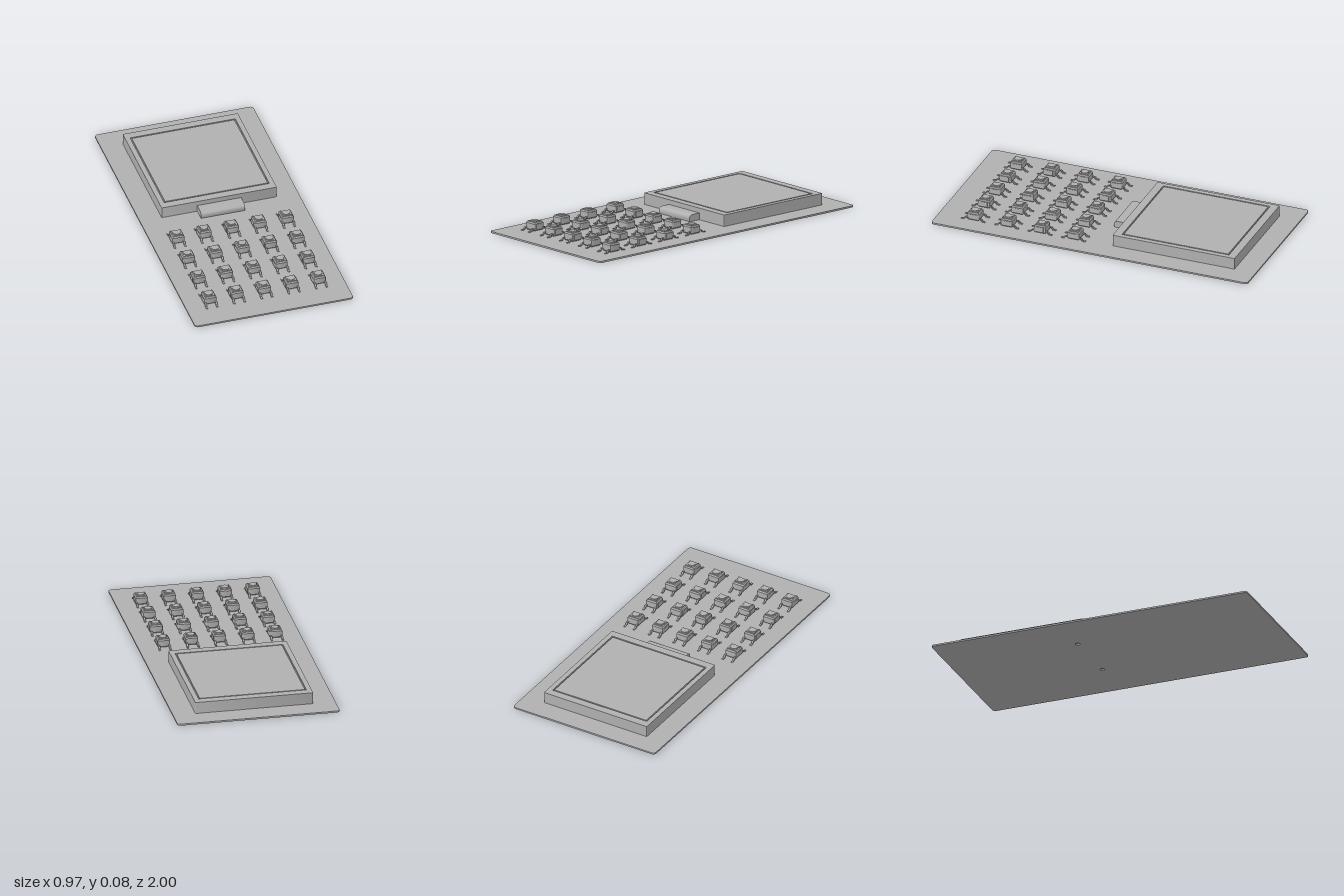
import * as THREE from 'three';
import { toCreasedNormals } from 'three/addons/utils/BufferGeometryUtils.js';

const grey = new THREE.MeshStandardMaterial({ color: 0xb0b0b0 });
grey.name = 'plain grey';

function add(parent, name, geo, x = 0, y = 0, z = 0) {
  const mesh = new THREE.Mesh(geo, grey);
  mesh.name = name;
  mesh.position.set(x, y, z);
  parent.add(mesh);
  return mesh;
}

// Rounded rectangle outline centred on the origin
function roundedRect(w, d, r, Type = THREE.Shape) {
  const s = new Type(), x = w / 2, y = d / 2;
  s.moveTo(-x + r, -y);
  s.lineTo(x - r, -y);
  s.absarc(x - r, -y + r, r, -Math.PI / 2, 0);
  s.lineTo(x, y - r);
  s.absarc(x - r, y - r, r, 0, Math.PI / 2);
  s.lineTo(-x + r, y);
  s.absarc(-x + r, y - r, r, Math.PI / 2, Math.PI);
  s.lineTo(-x, -y + r);
  s.absarc(-x + r, -y + r, r, Math.PI, Math.PI * 1.5);
  return s;
}

// Extrude an outline upwards from y = 0
function slab(shape, height, bevel = 0) {
  const g = new THREE.ExtrudeGeometry(shape, {
    depth: height - 2 * bevel, curveSegments: 6, bevelEnabled: bevel > 0,
    bevelSize: bevel, bevelThickness: bevel, bevelOffset: -bevel, bevelSegments: 1,
  });
  g.translate(0, 0, bevel);
  g.rotateX(-Math.PI / 2);
  return toCreasedNormals(g, 0.6);
}

// Extrude a (z, y) side profile across the x axis
function acrossX(points, width) {
  const shape = new THREE.Shape(points.map(([z, y]) => new THREE.Vector2(-z, y)));
  const g = new THREE.ExtrudeGeometry(shape, { depth: width, bevelEnabled: false });
  g.translate(0, 0, -width / 2);
  g.rotateY(Math.PI / 2);
  return toCreasedNormals(g, 0.6);
}

export function createModel() {
  const model = new THREE.Group();
  model.name = 'keypadBoard';

  // Circuit board with two round holes under the display
  const board = roundedRect(0.972, 2, 0.02);
  for (const x of [-0.19, 0.19]) {
    const hole = new THREE.Path();
    hole.absarc(x, 0.19, 0.015, 0, Math.PI * 2, true);
    board.holes.push(hole);
  }
  add(model, 'board', slab(board, 0.01));

  // Display: lower block, raised rim and screen panel with a groove between
  const display = new THREE.Group();
  display.name = 'display';
  display.position.set(0, 0.01, -0.481);
  model.add(display);
  add(display, 'displayBase', slab(roundedRect(0.706, 0.772, 0.006), 0.06));
  const rim = roundedRect(0.706, 0.772, 0.006);
  rim.holes.push(roundedRect(0.646, 0.676, 0.004, THREE.Path));
  add(display, 'displayRim', slab(rim, 0.01), 0, 0.06, 0);
  add(display, 'screen', slab(roundedRect(0.63, 0.66, 0.004), 0.01), 0, 0.06, 0);

  // Connector fold with a rounded front edge
  add(model, 'connector', acrossX([
    [-0.097, 0.01], [-0.02, 0.01], [-0.017, 0.02], [-0.017, 0.034],
    [-0.021, 0.043], [-0.03, 0.049], [-0.04, 0.051], [-0.097, 0.051],
  ], 0.27));

  // Shared push button pieces
  const body = slab(roundedRect(0.074, 0.074, 0.004), 0.05, 0.007);
  const cover = slab(roundedRect(0.05, 0.05, 0.004), 0.005);
  const knob = new THREE.CylinderGeometry(0.022, 0.024, 0.009, 24);
  const rivet = new THREE.CylinderGeometry(0.005, 0.005, 0.006, 10);
  const leg = acrossX([
    [0.03, 0.024], [0.046, 0.024], [0.056, 0.011], [0.076, 0.01],
    [0.076, 0.015], [0.06, 0.016], [0.049, 0.029], [0.03, 0.029],
  ], 0.011);
  const clip = new THREE.BoxGeometry(0.006, 0.03, 0.045);

  function button(x, z) {
    const b = new THREE.Group();
    b.name = 'pushButton';
    b.position.set(x, 0, z);
    add(b, 'buttonBody', body, 0, 0.011, 0);
    add(b, 'buttonCover', cover, 0, 0.06, 0);
    add(b, 'buttonKnob', knob, 0, 0.0645, 0);
    for (const sx of [-1, 1]) {
      add(b, 'sideClip', clip, sx * 0.036, 0.035, 0);
      for (const sz of [-1, 1]) {
        add(b, 'buttonLeg', leg, sx * 0.032, 0, 0).rotation.y = sz < 0 ? Math.PI : 0;
        add(b, 'cornerRivet', rivet, sx * 0.026, 0.061, sz * 0.026);
      }
    }
    model.add(b);
  }

  // Four rows of five push buttons
  for (let row = 0; row < 4; row++)
    for (let col = -2; col <= 2; col++) button(col * 0.168, 0.146 + row * 0.211);

  return model;
}
